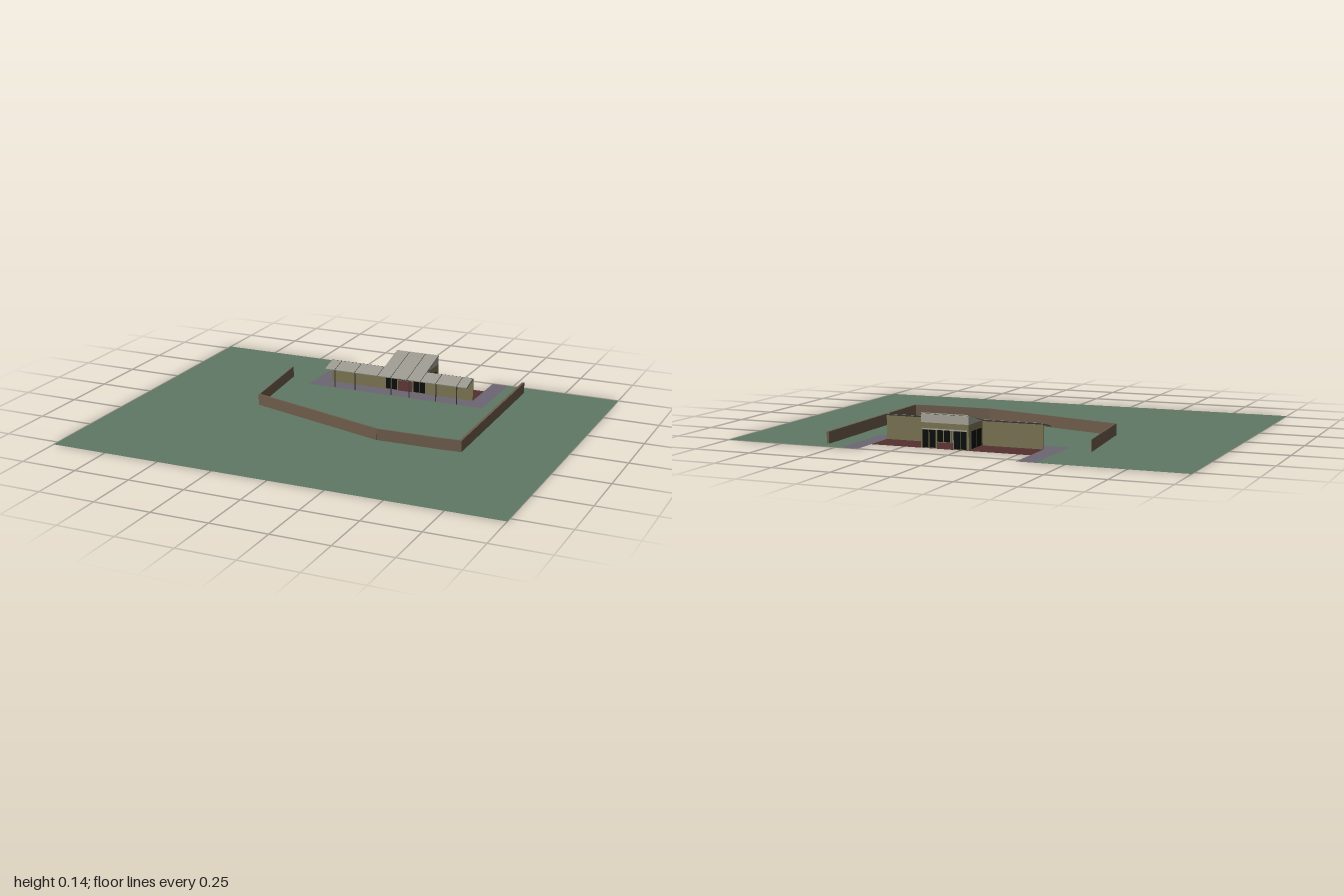
import * as THREE from 'three';

const mat = (color) => new THREE.MeshStandardMaterial({ color, side: THREE.DoubleSide, flatShading: true });
const lawnMat = mat(0x5f7865), pathMat = mat(0x6b6672), floorMat = mat(0x553030);
const fenceMat = mat(0x6e5c4c), wallMat = mat(0x7d7654), roofMat = mat(0x9c9a90);
const paleMat = mat(0xaaa79c), glassMat = mat(0x0c0e0d), darkMat = mat(0x3a3937);

// Building limits: long wall, central room and the single roof slope
const X0 = -0.3, X1 = 0.4, RX0 = -0.035, RX1 = 0.175;
const ZE = -0.4, ZW = -0.48, ZB = -0.63;
const roofY = (z) => 0.083 + (ZE - z) * 0.26;

export function createModel() {
  const model = new THREE.Group();

  function add(parent, name, geo, material) {
    const mesh = new THREE.Mesh(geo, material);
    mesh.name = name;
    parent.add(mesh);
    return mesh;
  }
  function box(parent, name, x0, x1, y0, y1, z0, z1, material) {
    const m = add(parent, name, new THREE.BoxGeometry(x1 - x0, y1 - y0, Math.abs(z1 - z0)), material);
    m.position.set((x0 + x1) / 2, (y0 + y1) / 2, (z0 + z1) / 2);
    return m;
  }
  // Flat ground surface from x, z corners
  function flat(name, pts, material) {
    const shape = new THREE.Shape(pts.map(([x, z]) => new THREE.Vector2(x, -z)));
    add(model, name, new THREE.ShapeGeometry(shape).rotateX(-Math.PI / 2), material);
  }

  flat('lawn', [[-1, 0.78], [1, 0.78], [1, -0.75], [0.475, -0.75], [0.475, ZE],
    [-0.38, ZE], [-0.38, -0.78], [-1, -0.78]], lawnMat);
  flat('path', [[-0.38, ZE], [0.475, ZE], [0.475, -0.75], [X1, -0.75], [X1, ZW],
    [X0, ZW], [X0, -0.78], [-0.38, -0.78]], pathMat);
  flat('terraceFloor', [[X0, ZW], [X1, ZW], [X1, ZB], [X0, ZB]], floorMat);

  // Boundary wall following the bent line around the plot
  const fence = new THREE.Group();
  fence.name = 'boundaryWall';
  model.add(fence);
  const line = [[-0.497, -0.467], [-0.452, -0.036], [0.21, 0.17], [0.49, 0.166], [0.582, 0.16], [0.57, -0.68]];
  const thick = [0.004, 0.008, 0.006, 0.006, 0.011];
  thick.forEach((t, i) => {
    const [ax, az] = line[i], [bx, bz] = line[i + 1];
    const len = Math.hypot(bx - ax, bz - az);
    const m = add(fence, 'wallRun' + i, new THREE.BoxGeometry(len + t * 0.6, 0.05, t), fenceMat);
    m.position.set((ax + bx) / 2, 0.025, (az + bz) / 2);
    m.rotation.y = -Math.atan2(bz - az, bx - ax);
  });

  const house = new THREE.Group();
  house.name = 'pavilion';
  model.add(house);

  // Wall across x with an open doorway in the middle
  const T = 0.006;
  function doorWall(name, x0, x1, h, z) {
    const s = new THREE.Shape([[x0, 0], [0.035, 0], [0.035, 0.08], [0.105, 0.08], [0.105, 0], [x1, 0], [x1, h], [x0, h]]
      .map(([x, y]) => new THREE.Vector2(x, y)));
    const m = add(house, name, new THREE.ExtrudeGeometry(s, { depth: T, bevelEnabled: false }), wallMat);
    m.position.z = z;
  }
  doorWall('longWall', X0, X1, 0.1, ZW - T);
  doorWall('backWall', RX0, RX1, 0.104, ZB + 0.004);
  box(house, 'backClerestory', RX0, RX1, 0.104, 0.138, ZB + 0.004, ZB + 0.009, paleMat);

  // Glazing beside both doorways, two panes each
  for (const z of [ZW - T / 2, ZB + 0.004 + T / 2]) {
    for (const x of [-0.026, 0.004, 0.112, 0.142]) {
      box(house, 'glassPane', x, x + 0.026, 0.003, 0.075, z - 0.0045, z + 0.0045, glassMat);
    }
    box(house, 'doorHead', -0.028, 0.17, 0.076, 0.081, z - 0.004, z + 0.004, paleMat);
  }

  // Side walls with windows and a pale gable under the slope
  for (const x of [RX0 + T / 2, RX1 - T / 2]) {
    box(house, 'sideWall', x - T / 2, x + T / 2, 0, 0.104, ZB + 0.004, ZW, wallMat);
    for (const [z0, z1] of [[-0.545, -0.503], [-0.6, -0.553]]) {
      box(house, 'sideWindow', x - 0.0045, x + 0.0045, 0.003, 0.075, z0, z1, glassMat);
    }
    const zg = ZB + 0.004;
    const gable = new THREE.Shape([[-ZW, 0.103], [-zg, 0.103], [-zg, roofY(zg)]]
      .map(([a, y]) => new THREE.Vector2(a, y)));
    const g = add(house, 'gable', new THREE.ExtrudeGeometry(gable, { depth: T, bevelEnabled: false }), paleMat);
    g.rotation.y = Math.PI / 2;
    g.position.x = x - T / 2;
  }

  // Sloping roof strips
  function slope(name, x0, x1, z0, z1, t, lift, material) {
    const dy = roofY(z1) - roofY(z0);
    const m = add(house, name, new THREE.BoxGeometry(x1 - x0, t, Math.hypot(z1 - z0, dy)), material);
    m.position.set((x0 + x1) / 2, (roofY(z0) + roofY(z1)) / 2 + lift, (z0 + z1) / 2);
    m.rotation.x = Math.atan2(dy, z0 - z1);
  }
  const seam = 0.0015;
  const edges = [X0, -0.25, -0.15, RX0, 0.03, 0.11, RX1, 0.25, 0.35, X1];
  for (let i = 0; i < edges.length - 1; i++) {
    const central = i >= 3 && i <= 5;
    slope('roofPanel', edges[i] + seam, edges[i + 1] - seam, ZE, central ? ZB : ZW, 0.004, 0, roofMat);
  }
  slope('eavesDeck', X0, X1, ZE - 0.001, ZW, 0.002, -0.001, darkMat);
  slope('roomDeck', RX0, RX1, ZW, ZB + 0.001, 0.002, -0.001, darkMat);
  box(house, 'ridgeTrim', X0, RX0, 0.1, 0.105, ZW - 0.004, ZW, darkMat);
  box(house, 'ridgeTrim', RX1, X1, 0.1, 0.105, ZW - 0.004, ZW, darkMat);

  // Front posts with rafters running back to the long wall
  for (const x of [-0.25, -0.15, 0.03, 0.12, 0.25, 0.35]) {
    const post = add(house, 'post', new THREE.CylinderGeometry(0.0025, 0.0025, 0.083, 8), darkMat);
    post.position.set(x, 0.0415, ZE - 0.005);
    slope('rafter', x - 0.002, x + 0.002, ZE - 0.003, ZW, 0.004, -0.004, darkMat);
  }
  return model;
}
